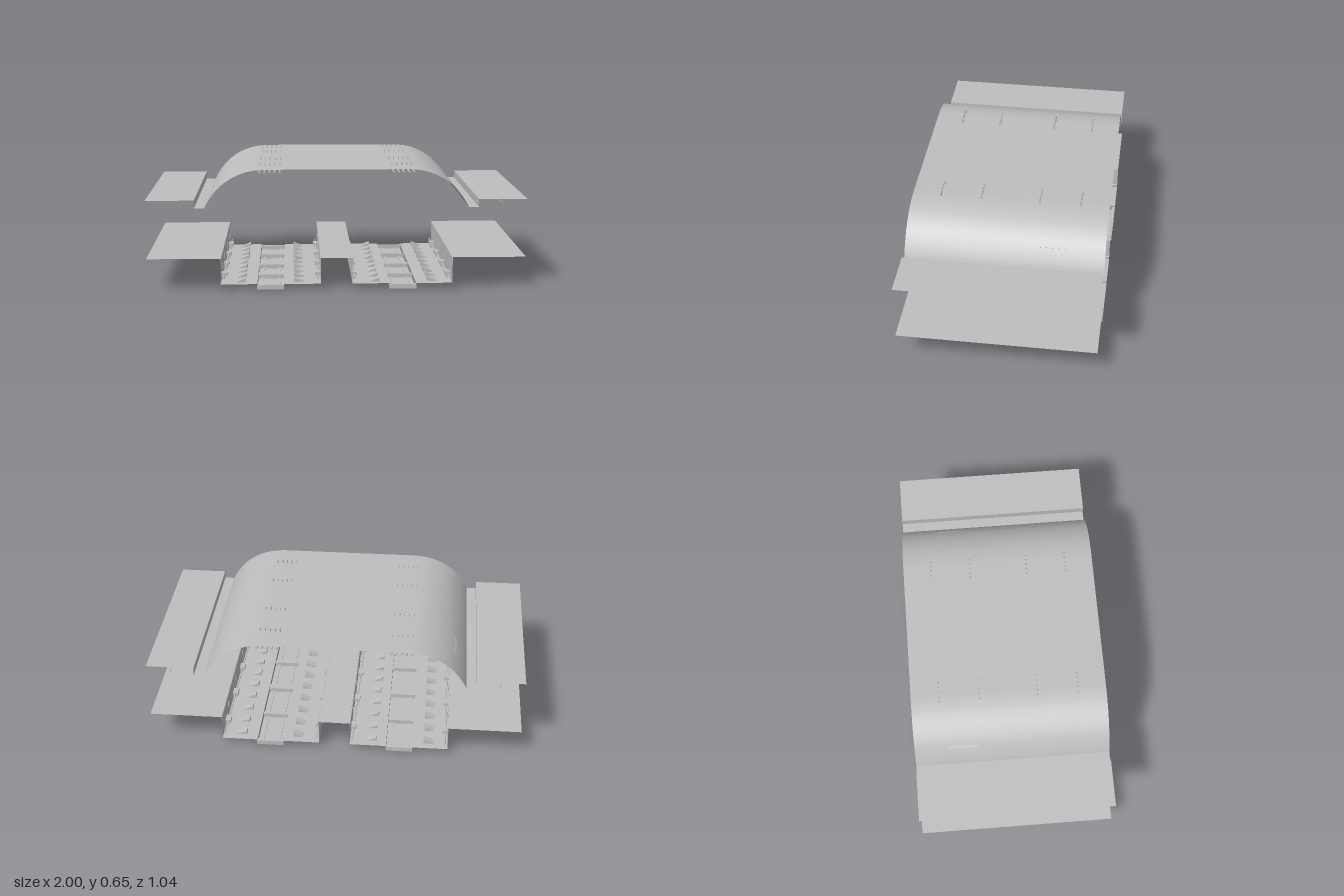
import * as THREE from 'three';

const L = 1.04; // hall length along z
const concrete = new THREE.MeshStandardMaterial({ color: 0xbebebe, side: THREE.DoubleSide });
concrete.name = 'light concrete';
const channelGrey = new THREE.MeshStandardMaterial({ color: 0x9a9a9a, side: THREE.DoubleSide });
channelGrey.name = 'channel grey';

// Sheet made by sweeping an x/y profile along z
function sheet(profile, smooth = false) {
  const pos = [], idx = [];
  for (const [x, y] of profile) pos.push(x, y, L / 2, x, y, -L / 2);
  for (let i = 0; i < profile.length - 1; i++) {
    const a = i * 2;
    idx.push(a, a + 2, a + 1, a + 1, a + 2, a + 3);
  }
  let geo = new THREE.BufferGeometry();
  geo.setAttribute('position', new THREE.Float32BufferAttribute(pos, 3));
  geo.setIndex(idx);
  if (!smooth) geo = geo.toNonIndexed();
  geo.computeVertexNormals();
  return geo;
}

export function createModel() {
  const model = new THREE.Group();
  model.name = 'stationHall';

  const add = (name, geo, x = 0, y = 0, z = 0, mat = concrete) => {
    const m = new THREE.Mesh(geo, mat);
    m.name = name;
    m.position.set(x, y, z);
    model.add(m);
    return m;
  };
  const box = (name, w, h, d, x, y, z, mat) => add(name, new THREE.BoxGeometry(w, h, d), x, y, z, mat);

  // Vaulted roof, flat in the middle with rounded shoulders
  const curve = new THREE.CatmullRomCurve3([
    [0.34, 0.638], [0.4, 0.637], [0.47, 0.626], [0.54, 0.599],
    [0.605, 0.555], [0.65, 0.505], [0.68, 0.46], [0.692, 0.436],
  ].map(([x, y]) => new THREE.Vector3(x, y, 0)));
  const half = curve.getPoints(28).map(p => [p.x, p.y]);
  const roof = [...half.slice().reverse(), ...half.map(([x, y]) => [-x, y])];
  add('roofVault', sheet(roof, true));

  // Middle platform
  add('middlePlatform', sheet([[0.083, 0.168], [-0.083, 0.168]]));

  for (const s of [1, -1]) {
    const mirror = pts => pts.map(([x, y]) => [s * x, y]);

    // Upper side slab with fascia and ledge at the foot of the vault
    add('upperSlab', sheet(mirror([[1, 0.478], [0.745, 0.478], [0.745, 0.436], [0.692, 0.436]])));

    // Side platform and track trench
    add('sidePlatform', sheet(mirror([[1, 0.168], [0.612, 0.168]])));
    add('outerTrench', sheet(mirror([[0.612, 0.168], [0.612, 0.03], [0.42, 0.03]])));
    add('innerTrench', sheet(mirror([[0.28, 0.03], [0.083, 0.03], [0.083, 0.168]])));
    add('channelSide', sheet(mirror([[0.42, 0.03], [0.42, 0.001]])), 0, 0, 0, channelGrey);
    add('channelSide', sheet(mirror([[0.28, 0.03], [0.28, 0.001]])), 0, 0, 0, channelGrey);
    add('channelFloor', sheet(mirror([[0.42, 0.001], [0.28, 0.001]])));

    // Platform edge strips
    for (const x of [0.61, 0.085]) box('platformEdge', 0.003, 0.02, L, s * x, 0.158, 0);

    // Cross beams and thin rails in the channel
    for (const [z, d] of [[0, 0.04], [0.26, 0.02], [-0.26, 0.02], [0.51, 0.02], [-0.51, 0.02]])
      box('crossBeam', 0.144, 0.024, d, s * 0.35, 0.012, z);
    for (const x of [0.305, 0.395]) box('channelRail', 0.01, 0.006, L, s * x, 0.005, 0);

    // Wedge blocks along the trench floor
    for (const [x, dir] of [[0.51, -1], [0.2, 1]]) {
      const d = dir * s * 0.027;
      const wedge = new THREE.Shape([
        new THREE.Vector2(-d, 0), new THREE.Vector2(d, 0), new THREE.Vector2(d, 0.022),
      ]);
      const geo = new THREE.ExtrudeGeometry(wedge, { depth: 0.04, bevelEnabled: false });
      for (let i = 0; i < 9; i++) {
        add('wedgeBlock', geo, s * x, 0.031, -0.48 + i * 0.115);
        box('floorPad', 0.04, 0.003, 0.035, s * x, 0.0295, -0.46 + i * 0.115, channelGrey);
      }
    }

    // Wall lamps and their hangers on both trench walls
    for (const x of [0.598, 0.097]) {
      for (const z of [0.395, 0.135, -0.125, -0.385]) {
        box('wallLamp', 0.03, 0.018, 0.05, s * x, 0.06, z);
        box('lampFoot', 0.012, 0.022, 0.012, s * x, 0.041, z);
        box('wallHanger', 0.004, 0.035, 0.006, s * (x + (x > 0.3 ? 0.008 : -0.008)), 0.118, z + 0.06);
      }
      const conduit = new THREE.CylinderGeometry(0.004, 0.004, L, 8).rotateX(Math.PI / 2);
      add('conduit', conduit, s * x, 0.06, 0);
    }

    // Five hanging rails under the vault with pins through it
    for (let i = 0; i < 5; i++) {
      const x = s * (0.297 + i * 0.0265);
      add('ceilingRail', new THREE.CylinderGeometry(0.006, 0.006, L, 8).rotateX(Math.PI / 2), x, 0.625, 0);
      for (const z of [0.37, 0.155, -0.155, -0.37]) {
        box('railPin', 0.005, 0.03, 0.009, x, 0.64, z);
      }
    }

    // Angled fitting at the shoulder of the vault
    const fitting = box('shoulderFitting', 0.02, 0.014, 0.16, s * 0.622, 0.525, -0.26);
    fitting.rotation.z = s * 0.9;

    // Box and sagging cable below the upper slab
    box('cableBox', 0.026, 0.014, 0.21, s * 0.872, 0.463, -0.265);
    const cable = new THREE.CatmullRomCurve3([
      [0.52, 0.462], [0.4, 0.449], [0.2, 0.449], [0, 0.45], [-0.16, 0.463],
      [-0.37, 0.463], [-0.45, 0.452], [-0.52, 0.449],
    ].map(([z, y]) => new THREE.Vector3(s * 0.872, y, z)));
    add('cable', new THREE.TubeGeometry(cable, 40, 0.002, 6));
  }
  return model;
}
